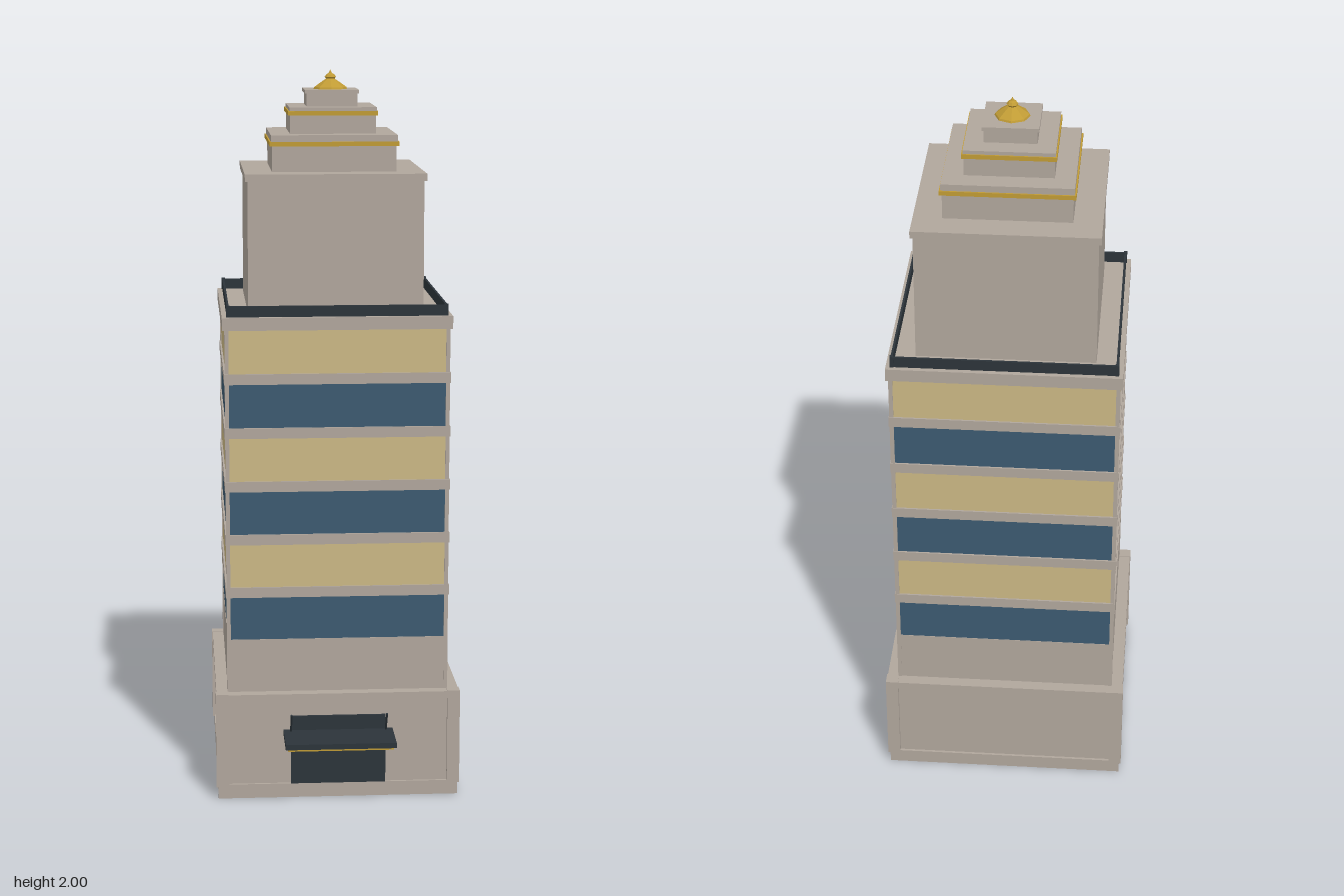
import * as THREE from 'three';

export function createModel() {
  const mat = (name, color) => {
    const m = new THREE.MeshStandardMaterial({ color });
    m.name = name;
    return m;
  };
  const stone = mat('stone', 0xb0a69c);
  const blueGlass = mat('blue glass', 0x3c5a70);
  const litGlass = mat('lit glass', 0xcab784);
  const dark = mat('dark metal', 0x2c343a);
  const gold = mat('gold', 0xc09b35);

  const model = new THREE.Group();
  model.name = 'tower';
  const tower = new THREE.Group();
  tower.name = 'towerBody';
  tower.position.z = -0.0635;
  model.add(tower);

  // box from bottom y0 to top y1, centred on x and z
  const box = (name, m, w, y0, y1, d, x = 0, z = 0, parent = tower) => {
    const mesh = new THREE.Mesh(new THREE.BoxGeometry(w, y1 - y0, d), m);
    mesh.name = name;
    mesh.position.set(x, (y0 + y1) / 2, z);
    parent.add(mesh);
    return mesh;
  };
  // square storey given by its half width
  const slab = (name, m, half, y0, y1) => box(name, m, half * 2, y0, y1, half * 2);
  // four square posts whose outer faces lie at the half width
  const posts = (name, m, half, size, y0, y1) => {
    for (const sx of [-1, 1]) for (const sz of [-1, 1]) {
      const c = half - size / 2;
      box(name, m, size, y0, y1, size, sx * c, sz * c);
    }
  };

  // base with framed panels
  slab('basePlinth', stone, 0.334, 0, 0.04);
  slab('baseWall', stone, 0.327, 0.04, 0.28);
  slab('baseCornice', stone, 0.3375, 0.28, 0.3);
  posts('basePost', stone, 0.3395, 0.035, 0.035, 0.302);

  // shaft with alternating window bands and ledges
  slab('lowerShaft', stone, 0.305, 0.3, 0.45);
  for (let i = 0; i < 6; i++) {
    const y = 0.45 + i * 0.149;
    slab('windowBand', i % 2 ? litGlass : blueGlass, 0.304, y, y + 0.12);
    slab('ledge', stone, i < 5 ? 0.309 : 0.3135, y + 0.12, y + (i < 5 ? 0.149 : 0.155));
  }
  posts('shaftPost', stone, 0.307, 0.011, 0.3, 1.32);

  // parapet around the terrace
  for (const s of [-1, 1]) {
    box('parapetWall', dark, 0.6, 1.35, 1.38, 0.006, 0, s * 0.297);
    box('parapetWall', dark, 0.006, 1.35, 1.38, 0.6, s * 0.297, 0);
  }
  posts('parapetPost', dark, 0.302, 0.01, 1.35, 1.382);

  // stepped crown
  slab('upperBlock', stone, 0.24, 1.35, 1.71);
  slab('upperCap', stone, 0.247, 1.71, 1.73);
  slab('secondTier', stone, 0.17, 1.73, 1.8);
  slab('secondTrim', gold, 0.177, 1.8, 1.812);
  slab('secondCap', stone, 0.173, 1.812, 1.83);
  slab('thirdTier', stone, 0.118, 1.83, 1.88);
  slab('thirdTrim', gold, 0.1235, 1.88, 1.892);
  slab('thirdCap', stone, 0.12, 1.892, 1.902);
  slab('topTier', stone, 0.07, 1.9, 1.937);
  slab('topCap', stone, 0.0745, 1.937, 1.947);

  // faceted finial
  const profile = [[0.047, 1.947], [0.045, 1.952], [0.024, 1.967], [0.012, 1.975],
    [0.016, 1.98], [0.011, 1.987], [0.005, 1.99], [0, 2]]
    .map(([r, y]) => new THREE.Vector2(r, y));
  const finialGeo = new THREE.LatheGeometry(profile, 8).toNonIndexed();
  finialGeo.computeVertexNormals();
  const finial = new THREE.Mesh(finialGeo, gold);
  finial.name = 'finial';
  tower.add(finial);

  // entrance with canopy and slanting stays
  const entrance = new THREE.Group();
  entrance.name = 'entrance';
  model.add(entrance);
  box('door', dark, 0.264, 0.04, 0.235, 0.009, 0, 0.267, entrance);
  box('canopy', dark, 0.304, 0.18, 0.195, 0.138, 0, 0.331, entrance);
  box('canopyTrim', gold, 0.29, 0.174, 0.18, 0.125, 0, 0.332, entrance);
  for (const s of [-1, 1]) {
    const a = new THREE.Vector3(s * 0.132, 0.19, 0.277);
    const b = new THREE.Vector3(s * 0.132, 0.253, 0.319);
    const stay = new THREE.Mesh(new THREE.CylinderGeometry(0.003, 0.003, a.distanceTo(b), 6), dark);
    stay.name = 'canopyStay';
    stay.position.copy(a).lerp(b, 0.5);
    stay.quaternion.setFromUnitVectors(new THREE.Vector3(0, 1, 0), b.clone().sub(a).normalize());
    entrance.add(stay);
  }
  return model;
}
